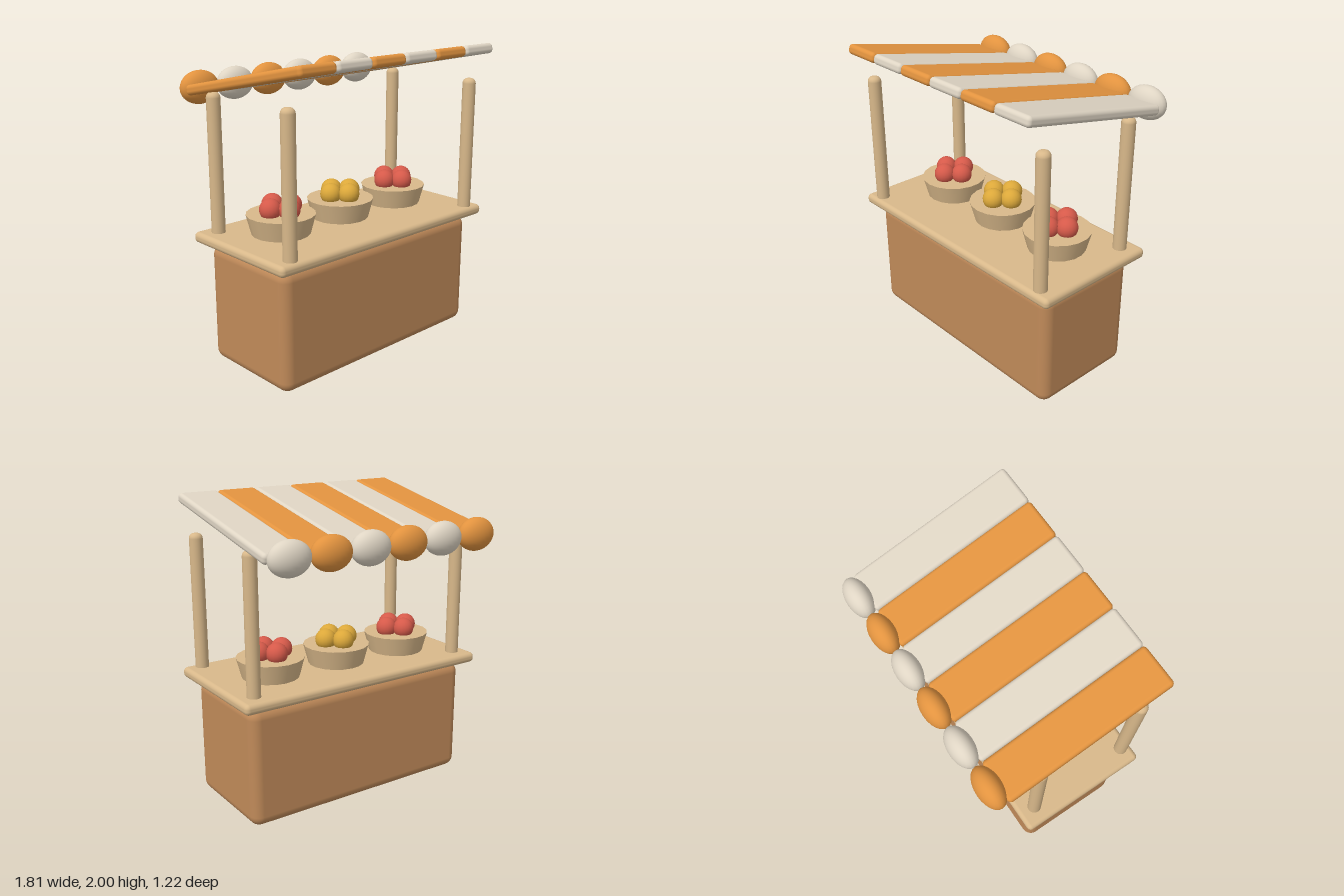
import * as THREE from 'three';
import { RoundedBoxGeometry } from 'three/addons/geometries/RoundedBoxGeometry.js';

const material = (name, color) => {
  const m = new THREE.MeshStandardMaterial({ color });
  m.name = name;
  return m;
};

export function createModel() {
  const brown = material('brown wood', 0xc08a59);
  const tan = material('pale wood', 0xd8b88a);
  const orange = material('orange cloth', 0xe2933f);
  const cream = material('cream cloth', 0xdfd5c4);
  const red = material('red fruit', 0xd65a4a);
  const yellow = material('yellow fruit', 0xdca83a);

  const stall = new THREE.Group();
  stall.name = 'marketStall';
  const add = (parent, name, geometry, mat, x, y, z) => {
    const mesh = new THREE.Mesh(geometry, mat);
    mesh.name = name;
    mesh.position.set(x, y, z);
    parent.add(mesh);
    return mesh;
  };

  // Body and counter top
  add(stall, 'body', new RoundedBoxGeometry(1.67, 0.79, 0.74, 4, 0.07), brown, 0, 0.398, 0.08);
  add(stall, 'counter', new RoundedBoxGeometry(1.81, 0.07, 0.88, 4, 0.03), tan, 0, 0.835, 0.08);

  // Four posts with softly rounded ends
  const r = 0.044, bevel = 0.034, half = 0.486;
  const profile = [new THREE.Vector2(0, -half)];
  for (const end of [-1, 1]) {
    for (let i = 0; i <= 5; i++) {
      const a = (end < 0 ? i - 5 : i) * Math.PI / 10;
      profile.push(new THREE.Vector2(r - bevel + bevel * Math.cos(a), end * (half - bevel) + bevel * Math.sin(a)));
    }
  }
  profile.push(new THREE.Vector2(0, half));
  const postGeometry = new THREE.LatheGeometry(profile, 20);
  for (const x of [-0.79, 0.79]) {
    for (const z of [0.455, -0.245]) add(stall, 'post', postGeometry, tan, x, 1.274, z);
  }

  // Baskets, each with four fruits
  const basketGeometry = new THREE.CylinderGeometry(0.222, 0.18, 0.16, 18);
  const fruitGeometry = new THREE.SphereGeometry(0.07, 18, 12);
  [-0.51, 0, 0.51].forEach((x, i) => {
    const group = new THREE.Group();
    group.name = 'fruitBasket';
    group.position.set(x, 0, 0.035);
    stall.add(group);
    add(group, 'basket', basketGeometry, tan, 0, 0.92, 0);
    for (let k = 0; k < 4; k++) {
      const a = k * Math.PI / 2;
      add(group, 'fruit', fruitGeometry, i === 1 ? yellow : red, 0.084 * Math.cos(a), 1.04, 0.084 * Math.sin(a));
    }
  });

  // Sloping striped awning with a rounded scallop on each stripe's low end
  const stripeGeometry = new RoundedBoxGeometry(0.277, 0.066, 1.115, 4, 0.025);
  const scallopGeometry = new THREE.SphereGeometry(1, 24, 16);
  for (let i = 0; i < 6; i++) {
    const x = (i - 2.5) * 0.278;
    const cloth = i % 2 ? cream : orange;
    add(stall, 'awningStripe', stripeGeometry, cloth, x, 1.857, 0.063).rotation.x = -0.207;
    add(stall, 'awningScallop', scallopGeometry, cloth, x, 1.747, -0.527).scale.set(0.139, 0.108, 0.079);
  }
  return stall;
}
